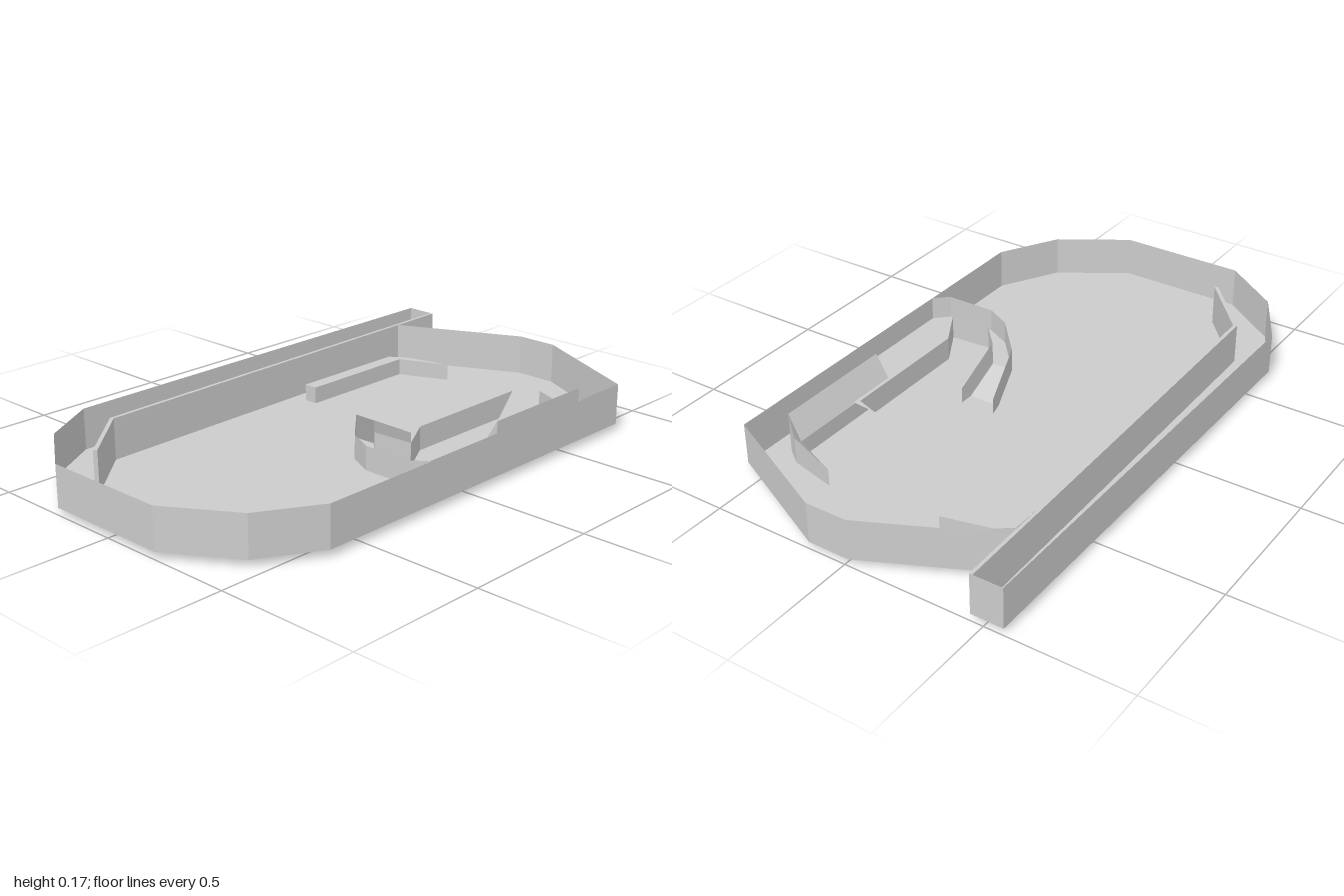
import * as THREE from 'three';

const FLOOR = 0.025, RIM = 0.17;
const material = new THREE.MeshStandardMaterial({ color: 0xcccccc, flatShading: true, side: THREE.DoubleSide });

// Sheet of quads between two 3D polylines of equal length
function strip(name, a, b, closed = false) {
  const pos = [];
  const n = a.length;
  for (let i = 0; i < (closed ? n : n - 1); i++) {
    const j = (i + 1) % n;
    pos.push(...a[i], ...a[j], ...b[j], ...a[i], ...b[j], ...b[i]);
  }
  const geo = new THREE.BufferGeometry();
  geo.setAttribute('position', new THREE.Float32BufferAttribute(pos, 3));
  geo.computeVertexNormals();
  const mesh = new THREE.Mesh(geo, material);
  mesh.name = name;
  return mesh;
}

const at = (pts, y) => pts.map(([x, z]) => [x, y, z]);
const outlineShape = (pts) => new THREE.Shape(pts.map(([x, z]) => new THREE.Vector2(x, -z)));

// Vertical prism over an (x, z) outline
function prism(name, pts, y0, y1) {
  const geo = new THREE.ExtrudeGeometry(outlineShape(pts), { depth: y1 - y0, bevelEnabled: false });
  geo.rotateX(-Math.PI / 2).translate(0, y0, 0);
  const mesh = new THREE.Mesh(geo, material);
  mesh.name = name;
  return mesh;
}

// Tray: flat floor with a thin upright rim
function makeTray() {
  const g = new THREE.Group();
  g.name = 'tray';
  const outline = [
    [-0.64, -0.57], [1, -0.57], [1, -0.455], [0.79, -0.452], [1, -0.015], [1, 0.135],
    [0.79, 0.57], [-0.64, 0.57], [-0.85, 0.45], [-1, 0.215], [-1, -0.24], [-0.85, -0.45],
  ];
  const floor = new THREE.Mesh(new THREE.ShapeGeometry(outlineShape(outline)), material);
  floor.geometry.rotateX(-Math.PI / 2).translate(0, FLOOR, 0);
  floor.name = 'trayFloor';
  g.add(floor, strip('trayRim', at(outline, FLOOR), at(outline, RIM), true));
  return g;
}

// Raised curved channel: deck with two side walls, dropping through the floor at its end
function makeRamp() {
  const g = new THREE.Group();
  g.name = 'ramp';
  const DECK = 0.09, TOP = 0.172;
  const outer = [[0.39, 0.568], [-0.2, 0.568], [-0.245, 0.52], [-0.245, 0.34], [-0.2, 0.25], [-0.06, 0.125], [0.12, 0.08]];
  const inner = [[0.41, 0.35], [0, 0.35], [-0.13, 0.425], [-0.14, 0.28], [-0.06, 0.205], [0.12, 0.208]];
  const deckLine = (pts) => pts.map(([x, z], i) => [x, i === pts.length - 1 ? 0 : DECK, z]);
  // Upper edges: entrance leans outward, exit is lower
  const topLine = (pts) => pts.map(([x, z], i) => [i ? x : x + 0.07, i === pts.length - 1 ? 0.08 : TOP, z]);
  const o = deckLine(outer), n = deckLine(inner);
  const nDeck = [n[0], n[1], n[2], n[2], n[3], n[4], n[5]];
  g.add(strip('rampDeck', o, nDeck));
  g.add(strip('rampOuterWall', o, topLine(outer)));
  g.add(strip('rampInnerWall', n, topLine(inner)));
  return g;
}

// Hooked guide rails, mirrored about z = 0.055
const HOOK = [[0.215, -0.385], [0.665, -0.385], [0.705, -0.33], [0.745, -0.16], [0.67, -0.335], [0.215, -0.335]];

function makeFrontGuide() {
  const g = new THREE.Group();
  g.name = 'frontGuide';
  const pts = HOOK.map(([x, z]) => [x, 0.11 - z]);
  // The front rail has a sloping top, highest along its outer edge
  const heights = [RIM, RIM, 0.12, 0.085, 0.085, 0.085];
  const top = pts.map(([x, z], i) => [x, heights[i], z]);
  g.add(strip('frontGuideSides', at(pts, 0.022), top, true));
  g.add(strip('frontGuideTop', [top[0], top[1], top[2], top[3]], [top[5], top[4], top[4], top[3]]));
  return g;
}

export function createModel() {
  const model = new THREE.Group();
  model.name = 'ballGameTray';

  // Long divider between the launch lane and the playing field
  const divider = prism('laneDivider', [
    [1, -0.467], [-0.635, -0.437], [-0.85, -0.25], [-0.842, -0.238], [-0.63, -0.424], [1, -0.455],
  ], FLOOR, RIM);

  model.add(makeTray(), divider, prism('backGuide', HOOK, 0.022, 0.085), makeFrontGuide(), makeRamp());
  return model;
}
